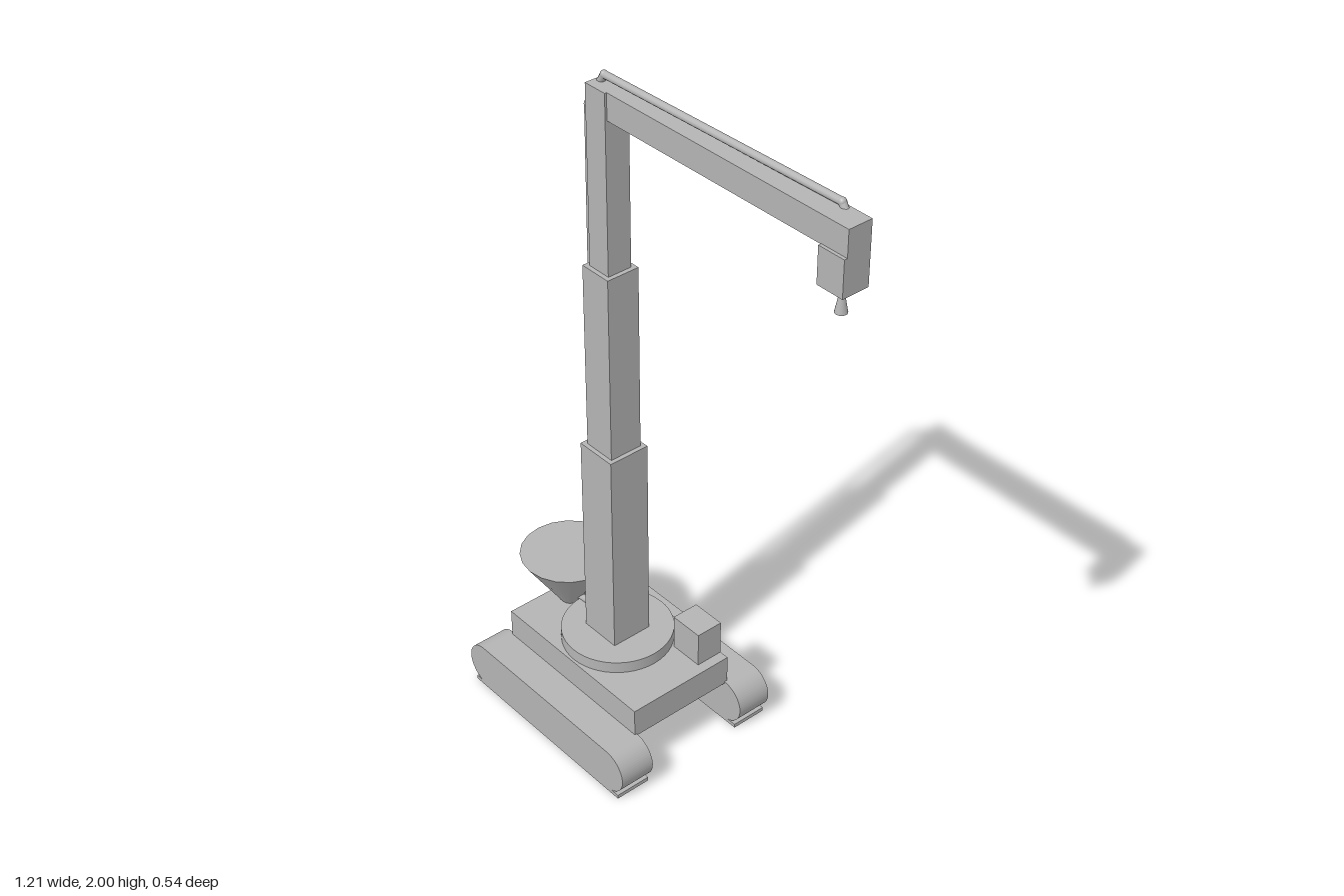
import * as THREE from 'three';

export function createModel() {
  const model = new THREE.Group();
  model.name = 'craneRobot';
  const grey = new THREE.MeshStandardMaterial({ color: 0xb4b4b4 });
  grey.name = 'plainGrey';

  const add = (name, geometry, x = 0, y = 0, z = 0, parent = model) => {
    const mesh = new THREE.Mesh(geometry, grey);
    mesh.name = name;
    mesh.position.set(x, y, z);
    parent.add(mesh);
    return mesh;
  };
  // Box given by its minimum and maximum on each axis
  const box = (name, x0, x1, y0, y1, z0, z1) =>
    add(name, new THREE.BoxGeometry(x1 - x0, y1 - y0, z1 - z0),
      (x0 + x1) / 2, (y0 + y1) / 2, (z0 + z1) / 2);

  // Crawler tracks with round ends, each on a thin ground plate
  const r = 0.067, back = -0.532, front = 0.022;
  const outline = new THREE.Shape();
  outline.moveTo(back, -r);
  outline.lineTo(front, -r);
  outline.absarc(front, 0, r, -Math.PI / 2, Math.PI / 2, false);
  outline.lineTo(back, r);
  outline.absarc(back, 0, r, Math.PI / 2, Math.PI * 1.5, false);
  const trackGeometry = new THREE.ExtrudeGeometry(outline,
    { depth: 0.108, bevelEnabled: false, curveSegments: 16 });
  for (const [side, z] of [['left', 0.161], ['right', -0.269]]) {
    add(side + 'Track', trackGeometry, 0, 0.077, z);
    box(side + 'TrackPlate', -0.575, 0.068, 0, 0.012, z, z + 0.108);
  }

  // Chassis, control box and turntable
  box('chassis', -0.53, 0.022, 0.138, 0.23, -0.171, 0.168);
  box('controlBox', -0.112, -0.008, 0.23, 0.338, -0.171, -0.088);
  add('turntable', new THREE.CylinderGeometry(0.16, 0.16, 0.036, 48), -0.253, 0.248, 0);

  // Telescopic mast, narrowing upward
  const mx = -0.253;
  [[0.063, 0.265, 0.9], [0.05, 0.9, 1.457], [0.037, 1.457, 1.968]].forEach(([h, y0, y1], i) =>
    box('mastSection' + (i + 1), mx - h, mx + h, y0, y1, -h, h));

  // Boom, print head and nozzle
  box('boom', mx + 0.037, 0.602, 1.893, 1.968, -0.033, 0.031);
  box('boomEnd', 0.52, 0.602, 1.893, 1.968, -0.04, 0.031);
  box('printHead', 0.52, 0.602, 1.793, 1.895, -0.04, 0.04);
  add('nozzle', new THREE.CylinderGeometry(0.007, 0.016, 0.048, 20), 0.561, 1.748, 0);
  add('nozzleNeck', new THREE.CylinderGeometry(0.011, 0.007, 0.024, 20), 0.561, 1.783, 0);

  // Material hopper
  add('hopper', new THREE.CylinderGeometry(0.14, 0.028, 0.172, 20), -0.468, 0.316, 0);

  // Feed hose from hopper, up the mast and along the boom
  const hose = new THREE.Group();
  hose.name = 'feedHose';
  model.add(hose);
  const radius = 0.01;
  const path = [
    [-0.44, 0.262, 0], [-0.338, 0.28, 0], [-0.326, 1.885, 0],
    [-0.262, 1.988, 0], [0.52, 1.978, -0.028], [0.532, 1.96, -0.028],
  ].map((p) => new THREE.Vector3(...p));
  const up = new THREE.Vector3(0, 1, 0);
  path.forEach((p, i) => {
    add('hoseJoint', new THREE.SphereGeometry(radius * 1.1, 12, 8), p.x, p.y, p.z, hose);
    if (i === 0) return;
    const d = p.clone().sub(path[i - 1]);
    const mid = p.clone().add(path[i - 1]).multiplyScalar(0.5);
    const part = add('hoseSection', new THREE.CylinderGeometry(radius, radius, d.length(), 12),
      mid.x, mid.y, mid.z, hose);
    part.quaternion.setFromUnitVectors(up, d.normalize());
  });

  return model;
}
